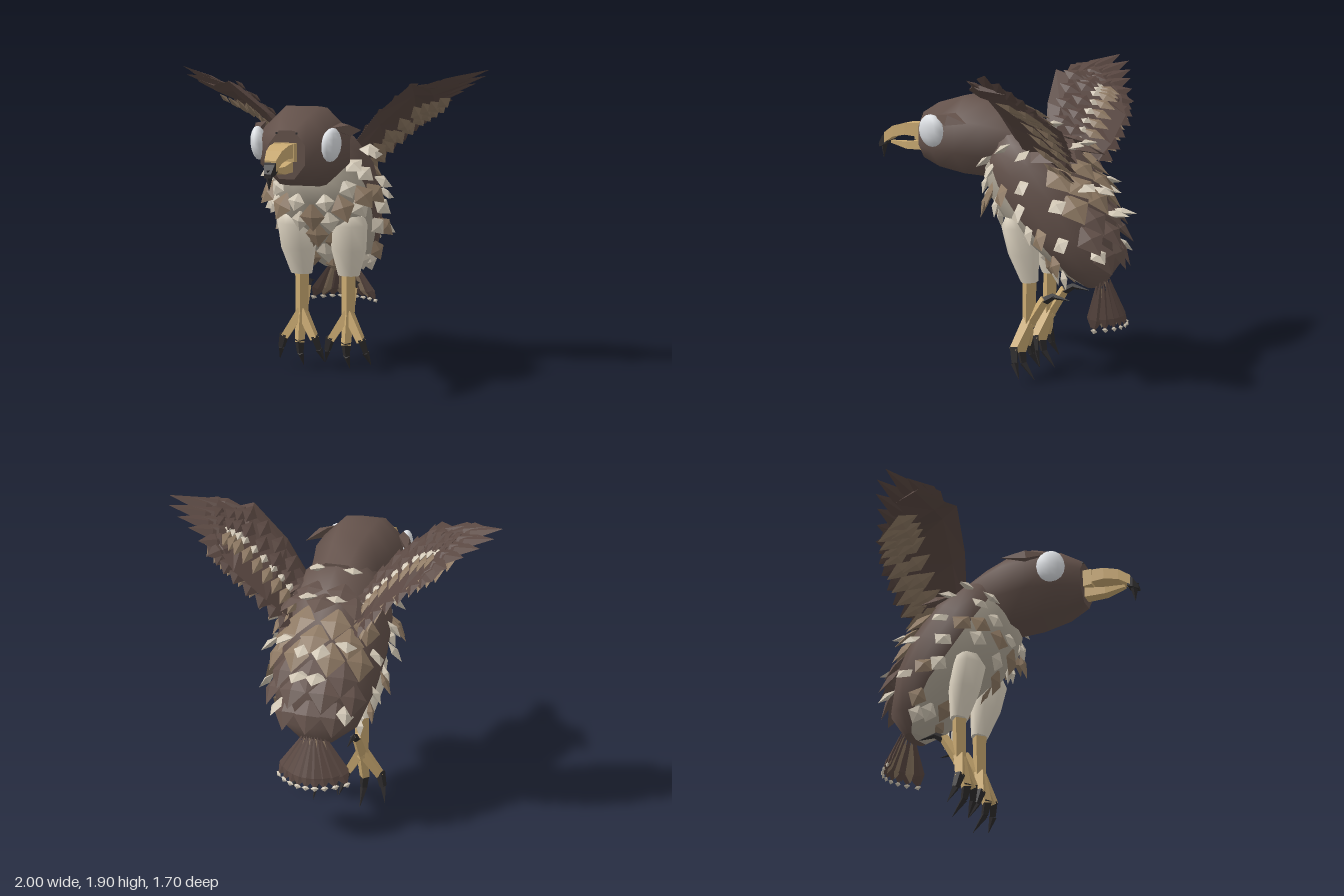
import * as THREE from 'three';

const V = (x, y, z) => new THREE.Vector3(x, y, z);
const mat = (name, color) => Object.assign(new THREE.MeshStandardMaterial({ color }), { name });

// Closed skin over rings of equal point count, with flat end caps.
// pick(i, j) chooses the material group of a quad.
function loft(rings, { flat = false, flip = false, pick = null } = {}) {
  const n = rings[0].length, cap = (r) => {
    const c = r.reduce((s, p) => s.add(p), V(0, 0, 0)).divideScalar(n);
    return r.map(() => c);
  };
  const first = rings[0], last = rings[rings.length - 1];
  const all = [cap(first), first, ...rings, last, cap(last)];
  const sets = [[], []];
  for (let i = 0; i < all.length - 1; i++) {
    for (let j = 0; j < n; j++) {
      const a = i * n + j, b = i * n + (j + 1) % n, c = a + n, d = b + n;
      sets[pick ? pick(i, j) : 0].push(...(flip ? [a, c, b, b, c, d] : [a, b, c, b, d, c]));
    }
  }
  let g = new THREE.BufferGeometry().setFromPoints(all.flat());
  g.setIndex([...sets[0], ...sets[1]]);
  if (pick) {
    g.addGroup(0, sets[0].length, 0);
    g.addGroup(sets[0].length, sets[1].length, 1);
  }
  if (flat) g = g.toNonIndexed();
  g.computeVertexNormals();
  return g;
}

// Ring around c spanned by u and v; u x v points along the travel direction.
function ring(c, u, v, n, turn = 0, k = 1) {
  return Array.from({ length: n }, (_, j) => {
    const a = turn + (j / n) * Math.PI * 2;
    return c.clone().addScaledVector(u, k * Math.cos(a)).addScaledVector(v, k * Math.sin(a));
  });
}

// Faceted feather of unit size, widest at the given share of its length
function featherShape(widest) {
  const g = new THREE.OctahedronGeometry(0.5).translate(0, 0.5, 0), p = g.attributes.position;
  for (let i = 0; i < p.count; i++) if (Math.abs(p.getY(i) - 0.5) < 0.1) p.setY(i, widest);
  g.computeVertexNormals();
  return g;
}

export function createModel() {
  const root = new THREE.Group();
  root.name = 'bird';
  const dark = mat('darkBrown', 0x64524b), wingBrown = mat('wingBrown', 0x5a4842);
  const tan = mat('tan', 0x8e7963), cream = mat('cream', 0xcfc5b3), belly = mat('bellyGrey', 0xb3aa9a);
  const thighCream = mat('thighCream', 0xe3d9c6);
  const gold = mat('gold', 0xcaaa72), black = mat('clawBlack', 0x2d2b2c), white = mat('eyeWhite', 0xdfe2e6);

  const add = (name, geo, material, parent = root) => {
    const m = new THREE.Mesh(geo, material);
    m.name = name;
    parent.add(m);
    return m;
  };
  const group = (name) => {
    const g = new THREE.Group();
    g.name = name;
    root.add(g);
    return g;
  };

  const kite = featherShape(0.5), paddle = featherShape(0.8);
  function feather(parent, name, material, base, dir, normal, len, width, thick = 0.02, shape = kite) {
    const y = dir.clone().normalize();
    const x = y.clone().cross(normal).normalize();
    const m = add(name, shape, material, parent);
    m.quaternion.setFromRotationMatrix(new THREE.Matrix4().makeBasis(x, y, x.clone().cross(y)));
    m.position.copy(base);
    m.scale.set(width, len, thick);
  }

  // Tapered four-sided rod between two points, an edge facing forward
  function rod(parent, name, material, a, b, r0, r1) {
    const d = b.clone().sub(a);
    const g = new THREE.CylinderGeometry(r1, r0, d.length(), 4).toNonIndexed();
    g.computeVertexNormals();
    const m = add(name, g, material, parent);
    m.quaternion.setFromUnitVectors(V(0, 1, 0), d.normalize());
    m.position.copy(a).add(b).multiplyScalar(0.5);
  }

  // Head and neck: [z, top, bottom, half width]
  const headRings = [[0.53, 1.58, 1.3, 0.11], [0.4, 1.65, 1.255, 0.205], [0.22, 1.7, 1.225, 0.25],
    [0.05, 1.68, 1.215, 0.24], [-0.1, 1.63, 1.23, 0.2], [-0.25, 1.55, 1.25, 0.17]]
    .map(([z, t, b, w]) => ring(V(0, (t + b) / 2, z), V(0, (t - b) / 2, 0), V(w, 0, 0), 8, Math.PI / 8, 1.08));
  add('head', loft(headRings), dark);

  // Torso: [back z, back y, belly z, belly y, half width]
  const torso = [[-0.1, 1.6, 0.02, 1.37, 0.16], [-0.27, 1.53, 0.09, 1.24, 0.27], [-0.45, 1.42, 0.06, 1.1, 0.32],
    [-0.6, 1.22, -0.06, 0.94, 0.33], [-0.7, 0.98, -0.24, 0.8, 0.31], [-0.735, 0.72, -0.42, 0.67, 0.24],
    [-0.65, 0.59, -0.55, 0.6, 0.11]];
  function torsoPoint(t, a) {
    const i = Math.min(Math.floor(t), torso.length - 2), f = t - i;
    const [bz, by, fz, fy, w] = torso[i].map((q, k) => q + (torso[i + 1][k] - q) * f);
    const c = Math.cos(a);
    return V(w * Math.sin(a), (by + fy) / 2 + c * (by - fy) / 2, (bz + fz) / 2 + c * (bz - fz) / 2);
  }
  const torsoRings = torso.map((_, i) => Array.from({ length: 16 }, (_, j) => torsoPoint(i, (j / 16) * Math.PI * 2)));
  add('torso', loft(torsoRings, { pick: (i, j) => (j >= 5 && j < 11 ? 1 : 0) }), [dark, belly]);

  // Body feathers: [t, angle from the spine, length, width, lift, colour], mirrored
  const plumage = group('bodyFeathers');
  const rows = [];
  [[1.4, 1, dark], [1.8, 0, dark], [2.2, 1, tan], [2.6, 0, tan], [3.0, 1, tan], [3.4, 0, dark], [3.8, 1, dark], [4.3, 0, dark]]
    .forEach(([t, odd, m]) => (odd ? [17, 48] : [0, 33]).forEach((a) => rows.push([t, a, 0.22, 0.18, 0.32, m])));
  rows.push(
    [0.8, 22, 0.12, 0.12, 0.5, cream], [1.9, 14, 0.15, 0.13, 0.8, cream], [2.9, 30, 0.15, 0.13, 1, cream],
    [3.1, 8, 0.15, 0.12, 1.2, cream], [3.7, 8, 0.18, 0.12, 1.9, cream], [4.4, 44, 0.14, 0.11, 1, cream],
    [0.9, 78, 0.13, 0.12, 0.9, cream], [1.4, 66, 0.13, 0.11, 0.9, cream], [2.2, 84, 0.14, 0.11, 1, cream],
    [3.0, 64, 0.14, 0.12, 1, cream], [3.9, 82, 0.13, 0.11, 0.9, cream],
    [2.0, 108, 0.17, 0.14, 0.8, tan], [2.7, 102, 0.15, 0.13, 0.9, cream], [3.3, 112, 0.14, 0.12, 0.7, cream],
    [3.5, 100, 0.16, 0.13, 0.8, tan], [4.3, 110, 0.15, 0.12, 0.7, tan], [4.8, 120, 0.13, 0.11, 0.7, cream],
    [0.6, 116, 0.14, 0.13, 0.6, cream], [1.1, 110, 0.14, 0.12, 0.9, cream], [1.25, 136, 0.13, 0.12, 0.5, cream],
    [1.7, 124, 0.18, 0.15, 0.6, tan], [1.6, 164, 0.12, 0.12, 0.5, cream], [1.75, 148, 0.19, 0.15, 0.5, tan],
    [2.0, 180, 0.19, 0.16, 0.5, tan], [2.2, 130, 0.14, 0.13, 0.8, cream], [2.4, 164, 0.14, 0.12, 0.5, cream],
    [2.8, 180, 0.18, 0.15, 0.4, tan], [3.3, 166, 0.17, 0.12, 0.4, tan], [3.9, 180, 0.18, 0.14, 0.4, cream],
    [4.3, 156, 0.16, 0.13, 0.5, tan], [4.6, 136, 0.14, 0.12, 0.7, cream], [4.9, 180, 0.12, 0.12, 0.4, tan]);
  for (const [t, deg, len, w, lift, m] of rows) {
    for (const s of deg % 180 ? [1, -1] : [1]) {
      const a = (s * deg * Math.PI) / 180, p = torsoPoint(t, a);
      const down = torsoPoint(t + 0.02, a).sub(p).normalize();
      const n = torsoPoint(t, a + 0.02).sub(p).cross(down).normalize();
      const dir = down.addScaledVector(n, lift);
      feather(plumage, 'bodyFeather', m, p.addScaledVector(n, -0.01), dir, n, len, w, 0.045);
    }
  }

  // Beak
  const beakRing = ([z, y, w, h]) => ring(V(0, y, z), V(w, 0, 0), V(0, h, 0), 4, Math.PI / 4, Math.SQRT2);
  add('cere', loft([[0.5, 1.455, 0.063, 0.055], [0.585, 1.46, 0.063, 0.052]].map(beakRing), { flat: true }), gold);
  add('upperBeak', loft([[0.58, 1.468, 0.058, 0.042], [0.66, 1.47, 0.056, 0.037], [0.75, 1.45, 0.046, 0.034],
    [0.82, 1.405, 0.034, 0.032]].map(beakRing), { flat: true }), gold);
  add('lowerBeak', loft([[0.5, 1.375, 0.04, 0.033], [0.66, 1.365, 0.034, 0.022], [0.78, 1.38, 0.015, 0.008]]
    .map(beakRing), { flat: true }), gold);
  add('beakHook', loft([[0.8, 1.405, 0.036, 0.036], [0.835, 1.385, 0.032, 0.03], [0.866, 1.355, 0.02, 0.012]]
    .map(beakRing), { flat: true }), black);
  rod(root, 'beakTip', black, V(0, 1.385, 0.835), V(0, 1.275, 0.84), 0.03, 0.002);

  // Tail fan, dark over tan, with a thin pale fringe
  const tail = group('tail');
  for (let i = -4; i <= 4; i++) {
    const f = i / 4, bow = 1 - f * f, base = V(f * 0.06, 0.645, -0.66 - 0.02 * bow);
    const tip = V(f * 0.215, 0.36, -0.68 - 0.115 * bow);
    const d = tip.clone().sub(base), n = V(f * 0.6, 0.3, -1);
    feather(tail, 'tailFeather', wingBrown, base, d, n, d.length(), 0.09, 0.024, paddle);
    feather(tail, 'tailLining', i % 2 ? tan : wingBrown, base.clone().add(V(0, 0, 0.02)), d, n, d.length() * 0.95, 0.08, 0.02, paddle);
    feather(tail, 'tailFringe', cream, base.clone().lerp(tip, 0.93), d, n, 0.035, 0.05, 0.02);
  }

  // Wing stations: leading edge and trailing edge
  const stations = [[V(0.15, 1.38, -0.2), V(0.17, 1.25, -0.47)], [V(0.35, 1.63, -0.13), V(0.31, 1.4, -0.57)],
    [V(0.58, 1.82, -0.085), V(0.5, 1.56, -0.59)], [V(0.69, 1.79, -0.11), V(0.64, 1.66, -0.5)],
    [V(0.84, 1.825, -0.21), V(0.8, 1.78, -0.4)]];

  for (const s of [1, -1]) {
    const side = s > 0 ? 'left' : 'right', S = (x, y, z) => V(s * x, y, z);

    // Eye, brow and nostril
    const eye = add(side + 'Eye', new THREE.SphereGeometry(1, 10, 8), white);
    eye.scale.set(0.048, 0.1, 0.09);
    eye.position.set(s * 0.222, 1.49, 0.38);
    eye.rotation.set(0, -s * 0.2, -s * 0.08);
    feather(root, side + 'Brow', dark, S(0.21, 1.585, 0.37), S(0.11, -0.03, -0.27), S(0.6, 0.7, 0.2), 0.3, 0.11, 0.07);
    const nostril = add(side + 'Nostril', new THREE.BoxGeometry(0.012, 0.01, 0.008), black);
    nostril.position.set(s * 0.06, 1.565, 0.53);

    // Leg
    const leg = group(side + 'Leg');
    const thigh = [[1.0, 0.17, -0.18, 0.1, 0.08], [0.94, 0.17, -0.175, 0.12, 0.1], [0.78, 0.165, -0.205, 0.112, 0.09],
      [0.61, 0.155, -0.24, 0.07, 0.05]].map(([y, x, z, rx, rz]) => ring(S(x, y, z), V(rx, 0, 0), V(0, 0, rz), 8, Math.PI / 8));
    add('thigh', loft(thigh), thighCream, leg);
    rod(leg, 'shank', gold, S(0.153, 0.64, -0.24), S(0.153, 0.33, -0.235), 0.046, 0.042);
    for (const k of [-1, 0, 1]) {
      const knuckle = S(0.153 + k * 0.1, k ? 0.2 : 0.17, -0.185);
      rod(leg, 'toe', gold, S(0.153, 0.37, -0.235), knuckle, 0.04, 0.032);
      const mid = S(0.153 + k * 0.125, k ? 0.13 : 0.1, -0.2);
      rod(leg, 'claw', black, knuckle.clone().add(V(0, 0.02, 0)), mid, 0.032, 0.022);
      rod(leg, 'clawTip', black, mid, S(0.153 + k * 0.15, k ? 0.04 : 0.001, k ? -0.24 : -0.275), 0.023, 0.001);
    }
    rod(leg, 'backToe', gold, S(0.153, 0.35, -0.24), S(0.153, 0.51, -0.34), 0.036, 0.03);
    rod(leg, 'backClaw', black, S(0.153, 0.49, -0.325), S(0.153, 0.535, -0.4), 0.028, 0.018);
    rod(leg, 'backClawTip', black, S(0.153, 0.532, -0.39), S(0.153, 0.515, -0.5), 0.018, 0.002);

    // Wing blade with a thick leading edge
    const wing = group(side + 'Wing');
    const up = S(-0.6, 0.75, -0.3).normalize();
    const at = (u, v) => {
      const i = Math.min(Math.floor(u), stations.length - 2), f = u - i;
      const [l, t] = [0, 1].map((k) => stations[i][k].clone().lerp(stations[i + 1][k], f));
      const p = l.lerp(t, v);
      return S(p.x, p.y, p.z);
    };
    const blade = stations.map((_, i) => {
      const m = at(i, 0.2), h = 0.035 - i * 0.005;
      return [at(i, 0), m.clone().addScaledVector(up, h), at(i, 1), m.clone().addScaledVector(up, -h)];
    });
    add('wingBlade', loft(blade, { flat: true, flip: s > 0 }), wingBrown, wing);

    // Covert rows: [chord, face, count, length, width, colour, last station]
    for (const [v, face, count, len, w, m, end] of [
      [0.1, 1, 8, 0.16, 0.1, wingBrown, 3.4], [0.3, 1, 8, 0.15, 0.1, wingBrown, 3.2],
      [0.5, 1, 10, 0.08, 0.06, cream, 2.8], [0.56, 1, 9, 0.17, 0.075, tan, 2.7],
      [0.45, -1, 8, 0.21, 0.1, tan, 3.2], [0.64, -1, 9, 0.22, 0.1, tan, 3], [0.84, -1, 8, 0.14, 0.11, wingBrown, 3]]) {
      for (let k = 0; k < count; k++) {
        const u = 0.25 + ((end - 0.25) * k) / (count - 1), p = at(u, v);
        const d = at(u, v + 0.1).sub(p).normalize().add(S(0.12, 0.04, 0)).addScaledVector(up, face * 0.08);
        const lift = face * (0.03 * (1 - v) + 0.008);
        feather(wing, 'covert', m, p.addScaledVector(up, lift), d, up, len, w, 0.03);
      }
    }
    // Flight feathers fanning to the tip
    [[0.93, 1.85, -0.25], [1.0, 1.9, -0.36], [0.97, 1.86, -0.43], [0.9, 1.81, -0.47], [0.82, 1.76, -0.5],
      [0.74, 1.7, -0.54], [0.67, 1.63, -0.58]].forEach((tip, k) => {
      const base = at(2.4, 0.1 + k * 0.11), d = S(...tip).sub(base);
      feather(wing, 'flightFeather', wingBrown, base, d, up, d.length(), 0.13, 0.035);
      const short = d.clone().add(S(-0.03, -0.01, 0.06));
      feather(wing, 'flightFeatherShort', wingBrown, base.clone().addScaledVector(up, 0.015), short, up, d.length() * 0.75, 0.1, 0.03);
    });
  }
  return root;
}
